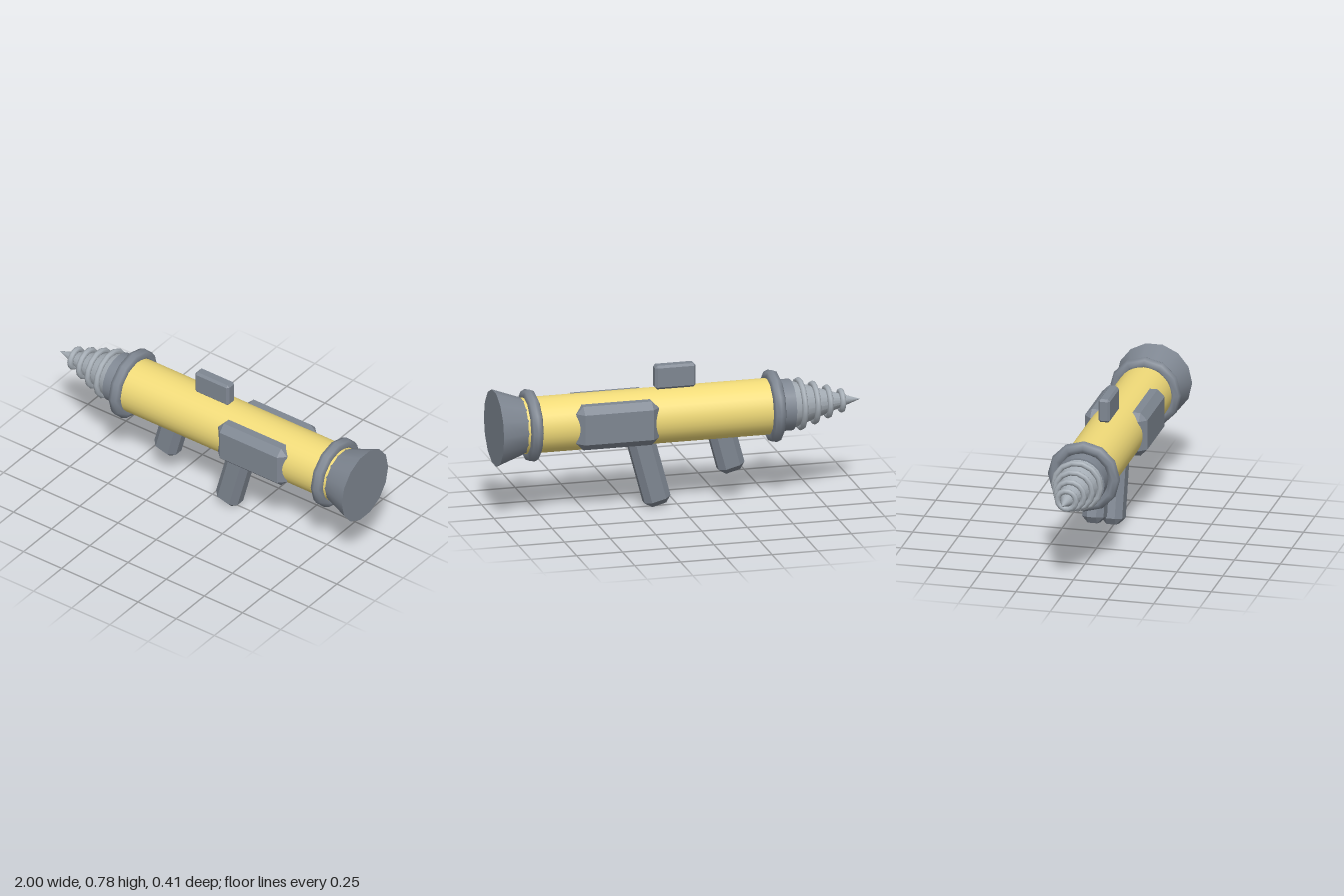
import * as THREE from 'three';
import { ConvexGeometry } from 'three/addons/geometries/ConvexGeometry.js';

const AXIS_Y = 0.5; // height of the barrel axis

const yellow = new THREE.MeshStandardMaterial({ color: 0xf0da78 });
const steel = new THREE.MeshStandardMaterial({ color: 0x7f8792 });
const paleSteel = new THREE.MeshStandardMaterial({ color: 0xa6aeb6 });
const flatSteel = new THREE.MeshStandardMaterial({ color: 0x7f8792, flatShading: true });

export function createModel() {
  const model = new THREE.Group();
  model.name = 'drillLauncher';

  const add = (name, geometry, material, x, y = AXIS_Y, z = 0) => {
    const mesh = new THREE.Mesh(geometry, material);
    mesh.name = name;
    mesh.position.set(x, y, z);
    model.add(mesh);
    return mesh;
  };

  // Cylinder or cone lying along x, from x0 (radius r0) to x1 (radius r1)
  const addRound = (name, x0, r0, x1, r1, sides, material) => {
    const geometry = new THREE.CylinderGeometry(r1, r0, x1 - x0, sides);
    geometry.rotateZ(-Math.PI / 2);
    return add(name, geometry, material, (x0 + x1) / 2);
  };

  // Ring around the barrel axis, given by its outer radius
  const addRing = (name, x, outer, tube, sides, material) => {
    const geometry = new THREE.TorusGeometry(outer - tube, tube, 8, sides);
    geometry.rotateY(Math.PI / 2);
    return add(name, geometry, material, x);
  };

  // Box with every edge cut at 45 degrees
  const chamferBox = (w, h, d, c) => {
    const points = [];
    for (const sx of [-1, 1]) for (const sy of [-1, 1]) for (const sz of [-1, 1]) {
      for (let axis = 0; axis < 3; axis++) {
        const inset = [c, c, c];
        inset[axis] = 0;
        points.push(new THREE.Vector3(
          sx * (w / 2 - inset[0]), sy * (h / 2 - inset[1]), sz * (d / 2 - inset[2])));
      }
    }
    return new ConvexGeometry(points);
  };

  // Barrel, its end rings and the flared exhaust
  addRound('barrel', -0.53, 0.15, 0.85, 0.15, 32, yellow);
  addRing('frontRing', -0.52, 0.197, 0.034, 12, steel);
  addRing('rearRing', 0.806, 0.197, 0.034, 12, steel);
  addRound('exhaustBell', 0.84, 0.148, 1, 0.206, 14, steel);

  // Drill: collar, cone and cutting ridges
  addRound('drillCollar', -0.62, 0.137, -0.52, 0.137, 20, steel);
  addRound('drillCone', -1, 0, -0.61, 0.132, 20, paleSteel);
  [[-0.895, 0.066], [-0.82, 0.091], [-0.745, 0.117], [-0.668, 0.142]].forEach(([x, r], i) =>
    addRing('drillRidge' + (i + 1), x, r, 0.016, 14, paleSteel));

  // Sight on top, and the block that shows as a panel on both sides
  add('sight', chamferBox(0.222, 0.13, 0.064, 0.012), flatSteel, 0.015, 0.713);
  add('sidePanels', chamferBox(0.45, 0.24, 0.34, 0.038), flatSteel, 0.36);

  // Raked grips, placed by the centre of their lower end
  const rake = THREE.MathUtils.degToRad(15);
  const addGrip = (name, x, y, length) => {
    const geometry = chamferBox(0.145, length, 0.116, 0.033);
    geometry.translate(0, length / 2, 0);
    add(name, geometry, flatSteel, x, y).rotation.z = -rake;
  };
  addGrip('frontGrip', -0.3, 0.163, 0.3);
  addGrip('rearGrip', 0.104, 0.011, 0.46);

  return model;
}
